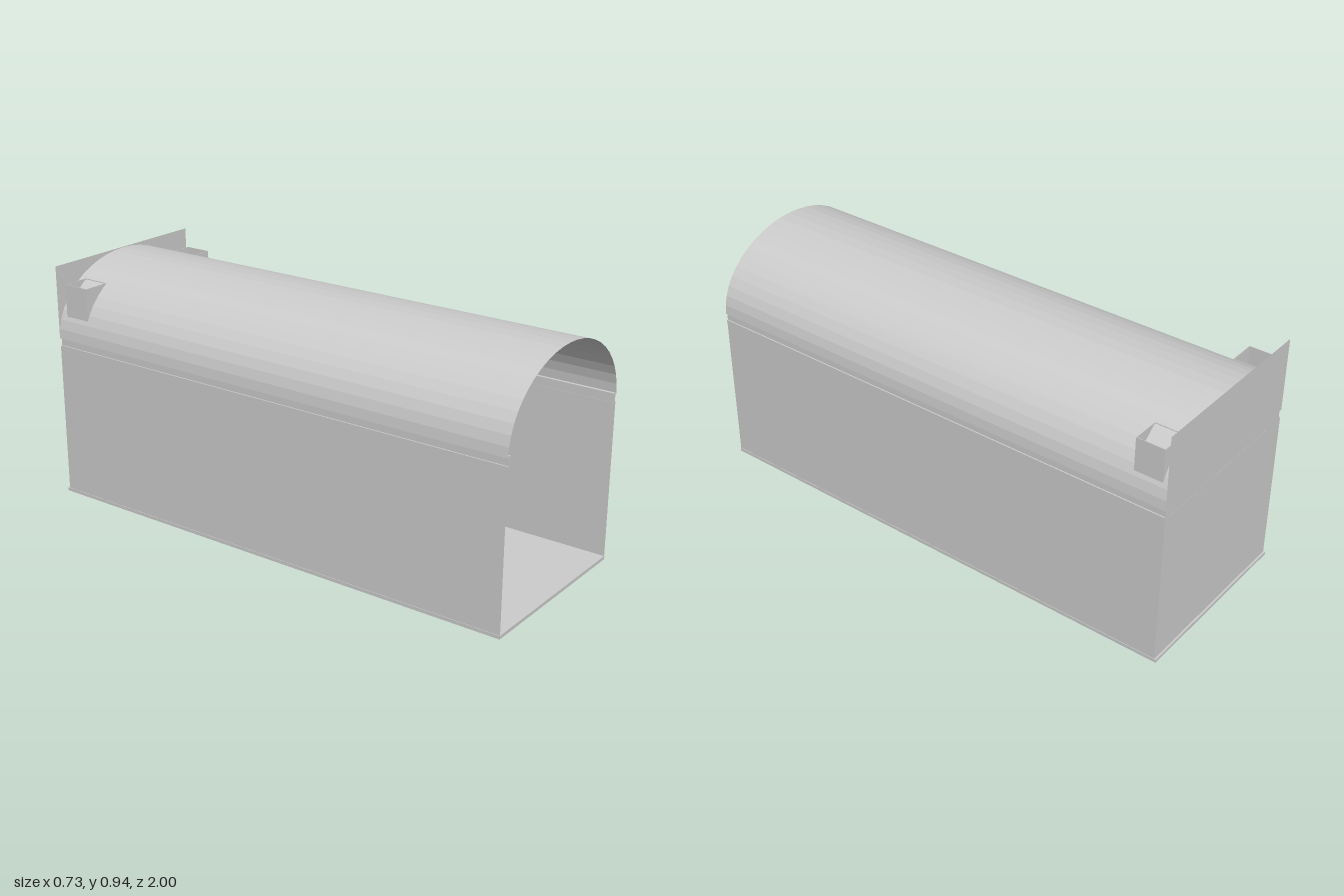
import * as THREE from 'three';

const smooth = new THREE.MeshStandardMaterial({ color: 0xcccccc, side: THREE.DoubleSide });
const flat = new THREE.MeshStandardMaterial({ color: 0xcccccc, side: THREE.DoubleSide, flatShading: true });

function add(parent, name, geometry, x = 0, y = 0, z = 0, material = flat) {
  const mesh = new THREE.Mesh(geometry, material);
  mesh.name = name;
  mesh.position.set(x, y, z);
  parent.add(mesh);
  return mesh;
}

// box given by its lower and upper corners
function box(parent, name, x0, x1, y0, y1, z0, z1) {
  return add(parent, name, new THREE.BoxGeometry(x1 - x0, y1 - y0, z1 - z0),
    (x0 + x1) / 2, (y0 + y1) / 2, (z0 + z1) / 2);
}

// square bar between two points
function bar(parent, name, a, b, w) {
  const p = new THREE.Vector3(...a), q = new THREE.Vector3(...b);
  const mesh = add(parent, name, new THREE.BoxGeometry(w, p.distanceTo(q), w));
  mesh.position.copy(p).add(q).multiplyScalar(0.5);
  mesh.quaternion.setFromUnitVectors(new THREE.Vector3(0, 1, 0), q.sub(p).normalize());
  return mesh;
}

function group(parent, name, z = 0) {
  const g = new THREE.Group();
  g.name = name;
  g.position.z = z;
  parent.add(g);
  return g;
}

// four-legged tapering frame on a base plate, with rungs across it
function trestle(parent, name, z, height, halfBase, halfTop, rungs) {
  const g = group(parent, name, z);
  box(g, 'basePlate', -halfBase - 0.015, halfBase + 0.015, 0.014, 0.028, -0.055, 0.055);
  for (const s of [-1, 1]) for (const d of [-1, 1])
    bar(g, 'leg', [s * halfBase, 0.028, d * 0.045], [s * halfTop, height, d * 0.022], 0.01);
  for (let i = 1; i <= rungs; i++) {
    const t = i / (rungs + 1);
    const w = THREE.MathUtils.lerp(halfBase, halfTop, t);
    const y = THREE.MathUtils.lerp(0.028, height, t);
    const d = THREE.MathUtils.lerp(0.045, 0.022, t);
    for (const s of [-1, 1]) box(g, 'rung', -w, w, y - 0.005, y + 0.005, s * d - 0.004, s * d + 0.004);
  }
  return g;
}

function buildHall(model) {
  const hall = group(model, 'hall');
  box(hall, 'floor', -0.367, 0.367, 0.015, 0.028, -0.995, 1);
  for (const s of [-1, 1]) {
    const wall = add(hall, 'sideWall', new THREE.PlaneGeometry(1.988, 0.592), s * 0.365, 0.324, 0.006);
    wall.rotation.y = s * Math.PI / 2;
    // recessed cornice between wall and vault
    box(hall, 'cornice', s * 0.355 - 0.006, s * 0.355 + 0.006, 0.615, 0.66, -0.985, 1);
    box(hall, 'corniceLip', s * 0.357 - 0.009, s * 0.357 + 0.009, 0.617, 0.627, -0.985, 1);
  }
  const back = add(hall, 'backWall', new THREE.PlaneGeometry(0.73, 0.592), 0, 0.324, -0.988);
  back.rotation.y = Math.PI;
  const gable = add(hall, 'backGable', new THREE.PlaneGeometry(0.734, 0.286), 0, 0.797, -0.988);
  gable.rotation.y = Math.PI;
  box(hall, 'backCornice', -0.355, 0.355, 0.615, 0.66, -0.983, -0.972);

  // barrel vault, open below
  const vault = new THREE.CylinderGeometry(1, 1, 1.988, 24, 1, true, -Math.PI / 2, Math.PI);
  vault.rotateX(-Math.PI / 2).scale(0.367, 0.283, 1);
  add(hall, 'vault', vault, 0, 0.655, 0.006);
}

function buildStage(model) {
  const stage = group(model, 'stage');
  box(stage, 'platform', -0.337, 0.337, 0.02, 0.117, -0.985, 0.14);

  // gathered curtain with irregular folds
  const curtain = new THREE.PlaneGeometry(0.728, 0.59, 160, 10);
  const p = curtain.attributes.position;
  for (let i = 0; i < p.count; i++) {
    const x = p.getX(i), y = p.getY(i);
    const drop = 0.5 - y / 0.59;
    const fold = Math.sin(x * 95 + 2 * Math.sin(x * 17) + 1.2 * drop * Math.sin(x * 41));
    const fine = Math.sin(x * 210 + drop * 4);
    p.setZ(i, (0.012 + 0.012 * drop) * fold + 0.006 * fine);
    p.setX(i, x * (1 - 0.01 * Math.sin(drop * Math.PI)));
  }
  curtain.computeVertexNormals();
  add(stage, 'curtain', curtain, 0, 0.322, -0.945, smooth);
  const rod = add(stage, 'curtainRail', new THREE.CylinderGeometry(0.006, 0.006, 0.7, 8), 0, 0.624, -0.93);
  rod.rotation.z = Math.PI / 2;

  // columns carrying open-topped blocks that break through the vault
  const profile = [[0.042, 0.115], [0.042, 0.7], [0.045, 0.715], [0.053, 0.725], [0.053, 0.73]]
    .map(([r, y]) => new THREE.Vector2(r, y));
  for (const s of [-1, 1]) {
    const x = s * 0.294, z = -0.905;
    add(stage, 'column', new THREE.LatheGeometry(profile, 24), x, 0, z, smooth);
    const block = group(stage, 'columnBlock');
    for (const d of [-1, 1]) {
      box(block, 'blockSide', x + d * 0.053 - 0.001, x + d * 0.053 + 0.001, 0.73, 0.87, z - 0.055, z + 0.055);
      box(block, 'blockFace', x - 0.054, x + 0.054, 0.73, 0.87, z + d * 0.054 - 0.001, z + d * 0.054 + 0.001);
    }
    box(block, 'blockBottom', x - 0.054, x + 0.054, 0.728, 0.732, z - 0.055, z + 0.055);
  }
}

function buildBarrier(model) {
  const barrier = group(model, 'barrier', 0.385);
  for (const s of [-1, 1]) {
    add(barrier, 'post', new THREE.CylinderGeometry(0.01, 0.01, 0.2, 12), s * 0.178, 0.1, 0, smooth);
    add(barrier, 'postCap', new THREE.CylinderGeometry(0.015, 0.013, 0.023, 12), s * 0.178, 0.21, 0, smooth);
  }
  const rail = add(barrier, 'rail', new THREE.CylinderGeometry(0.004, 0.004, 0.356, 8), 0, 0.187, 0, smooth);
  rail.rotation.z = Math.PI / 2;
}

function buildTowers(model) {
  // low stand in front
  const stand = trestle(model, 'lowStand', 0.46, 0.13, 0.052, 0.03, 3);
  box(stand, 'standTop', -0.034, 0.034, 0.125, 0.163, -0.025, 0.025);
  trestle(model, 'middleStand', 0.18, 0.3, 0.055, 0.025, 3);

  // tall ladder tower
  const ladder = trestle(model, 'ladderTower', -0.29, 0.55, 0.062, 0.03, 0);
  for (const s of [-1, 1]) box(ladder, 'rail', s * 0.027 - 0.006, s * 0.027 + 0.006, 0.028, 0.585, 0.02, 0.032);
  for (const y of [0.07, 0.21, 0.28, 0.345, 0.475, 0.555, 0.575])
    box(ladder, 'rung', -0.025, 0.025, y - 0.006, y + 0.006, 0.021, 0.031);

  // keyhole-shaped head with a ring and a hanging weight
  const tower = trestle(model, 'headTower', -0.6, 0.6, 0.068, 0.032, 0);
  const head = (k) => {
    const s = new THREE.Shape();
    s.moveTo(-0.037 * k, 0.585);
    s.lineTo(0.037 * k, 0.585);
    s.lineTo(0.052 * k, 0.65);
    s.quadraticCurveTo(0.056 * k, 0.69, 0.07 * k, 0.715);
    s.absarc(0, 0.742, 0.076 * k, -0.36, Math.PI + 0.36, false);
    s.quadraticCurveTo(-0.056 * k, 0.69, -0.052 * k, 0.65);
    s.closePath();
    const hole = new THREE.Path();
    hole.absarc(0, 0.755, 0.026, 0, Math.PI * 2, true);
    s.holes.push(hole);
    return s;
  };
  const extrude = (k, depth) => new THREE.ExtrudeGeometry(head(k), { depth, bevelEnabled: false, curveSegments: 20 });
  add(tower, 'headPanel', extrude(1, 0.03), 0, 0, -0.015);
  add(tower, 'headFace', extrude(0.86, 0.04), 0, 0, -0.02);
  add(tower, 'octagonFrame', new THREE.TorusGeometry(0.033, 0.007, 6, 8), 0, 0.755, 0.022)
    .rotation.z = Math.PI / 8;
  add(tower, 'ring', new THREE.TorusGeometry(0.025, 0.003, 8, 24), 0, 0.755, 0.028, smooth);
  box(tower, 'hangingRod', -0.0015, 0.0015, 0.66, 0.73, 0.026, 0.029);
  add(tower, 'knob', new THREE.SphereGeometry(0.007, 10, 8), 0, 0.705, 0.028, smooth);
  box(tower, 'weight', -0.011, 0.011, 0.653, 0.664, 0.024, 0.032);
}

export function createModel() {
  const model = new THREE.Group();
  model.name = 'vaultedHall';
  buildHall(model);
  buildStage(model);
  buildBarrier(model);
  buildTowers(model);
  return model;
}
